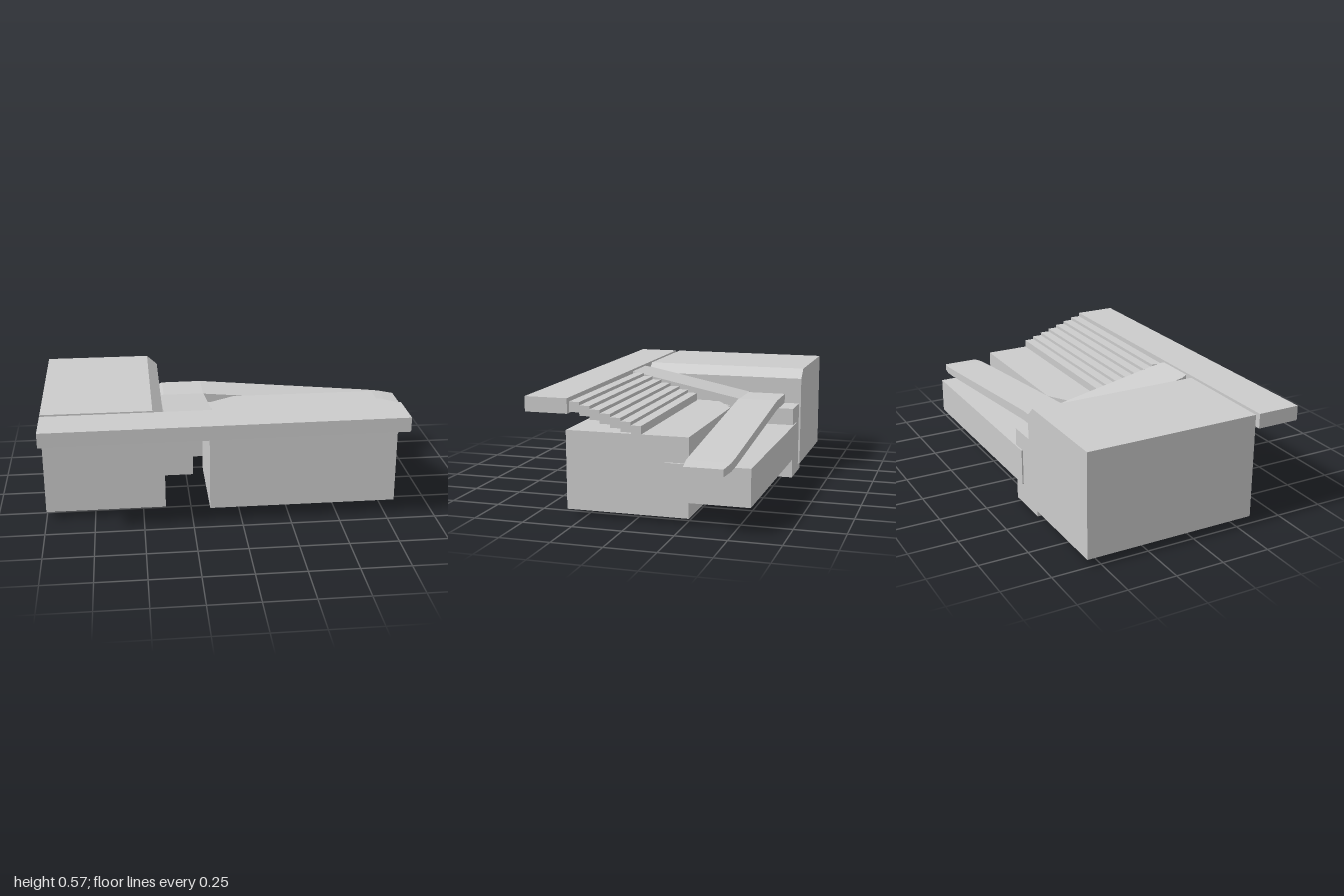
import * as THREE from 'three';

const mat = new THREE.MeshStandardMaterial({ color: 0xcccccc, flatShading: true });

function add(group, name, geometry) {
  const mesh = new THREE.Mesh(geometry, mat);
  mesh.name = name;
  group.add(mesh);
  return mesh;
}

// box given by its limits
function box(x0, x1, y0, y1, z0, z1) {
  return new THREE.BoxGeometry(x1 - x0, y1 - y0, z1 - z0)
    .translate((x0 + x1) / 2, (y0 + y1) / 2, (z0 + z1) / 2);
}

function extrude(points, depth) {
  const shape = new THREE.Shape(points.map(([x, y]) => new THREE.Vector2(x, y)));
  return new THREE.ExtrudeGeometry(shape, { depth, bevelEnabled: false });
}

// plan outline of [x, z] points raised from y0 to y1
function plan(points, y0, y1) {
  return extrude(points.map(([x, z]) => [x, -z]), y1 - y0).rotateX(-Math.PI / 2).translate(0, y0, 0);
}

// slab along x through sections [x, bottom, top, zMin, zMax]
function slab(sections) {
  const n = sections.length - 1;
  const g = new THREE.BoxGeometry(1, 1, 1, n, 1, 1);
  const p = g.attributes.position;
  for (let i = 0; i < p.count; i++) {
    const [x, y0, y1, z0, z1] = sections[Math.round((p.getX(i) + 0.5) * n)];
    p.setXYZ(i, x, p.getY(i) > 0 ? y1 : y0, p.getZ(i) > 0 ? z1 : z0);
  }
  const flat = g.toNonIndexed();
  flat.computeVertexNormals();
  return flat;
}

export function createModel() {
  const g = new THREE.Group();
  g.name = 'terracedBuilding';

  // tall block with a chamfered inner top edge
  add(g, 'tallBlock', extrude(
    [[-1, 0.04], [-0.385, 0.04], [-0.385, 0.525], [-0.44, 0.575], [-1, 0.575]], 0.895
  ).translate(0, 0, -0.57));

  // low block with a cut back corner
  add(g, 'lowBlock', plan(
    [[-0.155, 0.345], [0.82, 0.345], [0.82, -0.267], [0.03, -0.267], [-0.155, -0.155]], 0.03, 0.42));

  // slightly skewed walkway along the front
  add(g, 'frontWalkway', plan(
    [[-1, 0.57], [0.83, 0.55], [0.83, 0.332], [-1, 0.348]], 0.5, 0.575));

  // rear support and beam
  add(g, 'rearPost', box(-0.45, -0.21, 0, 0.385, -0.56, -0.155));
  add(g, 'rearBeam', box(-0.29, 0.833, 0.11, 0.295, -0.567, -0.153));

  // stair flight with stepped underside
  const steps = 7, depth = 0.0515, rise = 0.0163, zTop = 0.325;
  const upper = [], lower = [];
  for (let i = 0; i < steps; i++) {
    const z0 = zTop - i * depth, z1 = z0 - depth, y = 0.558 - i * rise;
    upper.push([-z0, y], [-z1, y]);
    lower.push([-z0, y - 0.05], [-z1, y - 0.05]);
  }
  add(g, 'stairs', extrude([...upper, ...lower.reverse()], 0.96)
    .rotateY(Math.PI / 2).translate(-0.14, 0, 0));

  // landing and long ramp dropping to the side
  add(g, 'longRamp', slab([
    [-0.385, 0.39, 0.436, -0.468, -0.28],
    [-0.36, 0.39, 0.44, -0.483, -0.272],
    [-0.14, 0.39, 0.44, -0.485, -0.27],
    [0.84, 0.304, 0.346, -0.497, -0.282],
    [0.92, 0.297, 0.337, -0.495, -0.283],
    [1, 0.29, 0.325, -0.48, -0.292],
  ]));

  // short ramp from the walkway to the landing, lofted along x then turned to -z
  add(g, 'shortRamp', slab([
    [-0.345, 0.515, 0.565, -0.365, -0.15],
    [-0.31, 0.508, 0.558, -0.382, -0.138],
    [0.275, 0.39, 0.44, -0.382, -0.138],
  ])).rotation.y = Math.PI / 2;

  return g;
}
